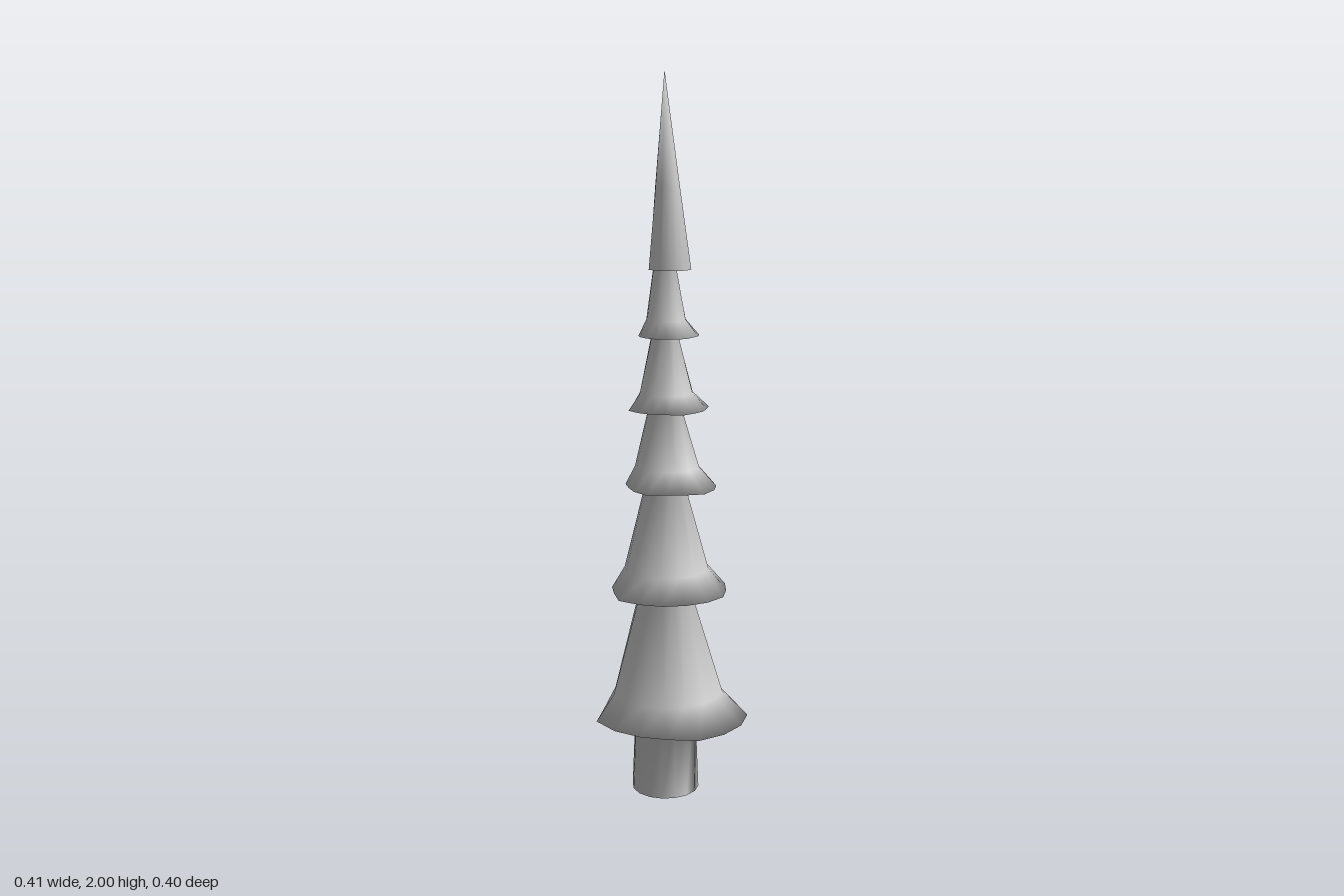
import * as THREE from 'three';

const N = 16; // sides of every ring
const AXIS = [-0.017, 0.025]; // trunk axis in x, z

// Ragged rim outlines as factors of the mean radius, one per side
const RAGGED = [
  [1.02, 1.03, 1.05, 0.97, 0.99, 1.05, 1.12, 1.0, 0.97, 1.07, 0.98, 0.91, 0.95, 1.0, 0.9, 1.01],
  [1.02, 1.0, 0.98, 0.99, 1.0, 1.05, 0.94, 0.95, 0.95, 1.05, 0.93, 0.99, 1.02, 1.1, 1.0, 0.97],
];

export function createModel() {
  const pos = [];
  const parts = {}; // part name -> triangle corners

  // Adds one ring of points and returns the index of its first point
  const ring = (y, r, c = AXIS, rag = 0, kind = 0, turn = 0) => {
    const start = pos.length / 3;
    for (let j = 0; j < N; j++) {
      const a = (j / N) * Math.PI * 2;
      const f = 1 + rag * (RAGGED[kind][(j + turn) % N] - 1);
      pos.push(c[0] + Math.cos(a) * r * f, y, c[1] + Math.sin(a) * r * f);
    }
    return start;
  };
  // Joins consecutive rings into a band of the named part
  const skin = (name, ...rings) => {
    const idx = (parts[name] ??= []);
    for (let i = 1; i < rings.length; i++) {
      const lo = rings[i - 1], hi = rings[i];
      for (let j = 0; j < N; j++) {
        const k = (j + 1) % N;
        idx.push(lo + j, hi + j, lo + k, lo + k, hi + j, hi + k);
      }
    }
  };

  // Trunk with a closed foot
  const foot = ring(0, 0.095);
  let neck = ring(0.22, 0.086);
  skin('trunk', foot, neck);
  for (let j = 1; j < N - 1; j++) parts.trunk.push(foot, foot + j, foot + j + 1);

  // Branch tiers: rim y, radius, centre; shoulder y, radius; top y, radius; outline, turn
  [
    [0.215, 0.206, [0, 0], 0.29, 0.152, 0.59, 0.071, 0, 0],
    [0.585, 0.168, [-0.015, 0.01], 0.65, 0.12, 0.89, 0.055, 1, 0],
    [0.885, 0.13, [-0.01, 0.01], 0.94, 0.09, 1.105, 0.045, 0, 5],
    [1.1, 0.107, [-0.01, 0.01], 1.145, 0.073, 1.305, 0.036, 1, 7],
    [1.3, 0.08, [-0.011, 0.011], 1.345, 0.053, 1.485, 0.031, 0, 11],
  ].forEach(([y, r, c, sy, sr, ty, tr, kind, turn], i) => {
    const mid = [(c[0] + 2 * AXIS[0]) / 3, (c[1] + 2 * AXIS[1]) / 3];
    const rim = ring(y, r, c, 1, kind, turn);
    const shoulder = ring(sy, sr, mid, 0.5, kind, turn);
    const top = ring(ty, tr);
    skin(`branchTier${i + 1}`, neck, rim, shoulder, top);
    neck = top;
  });

  // Slender pointed crown
  const rim = ring(1.48, 0.058, [-0.009, 0.01], 0.6, 1, 3);
  const waist = ring(1.7, 0.033, [-0.012, 0.018]);
  skin('crown', neck, rim, waist);
  const tip = pos.length / 3;
  pos.push(AXIS[0], 2, AXIS[1]);
  for (let j = 0; j < N; j++) parts.crown.push(waist + j, tip, waist + ((j + 1) % N));

  // Smooth normals run on across all parts, then each part becomes its own mesh
  const whole = new THREE.BufferGeometry();
  whole.setAttribute('position', new THREE.Float32BufferAttribute(pos, 3));
  whole.setIndex(Object.values(parts).flat());
  whole.computeVertexNormals();

  const tree = new THREE.Group();
  tree.name = 'coniferTree';
  const mat = new THREE.MeshStandardMaterial({ color: 0xcccccc });
  for (const [name, idx] of Object.entries(parts)) {
    const mesh = new THREE.Mesh(whole.clone().setIndex(idx).toNonIndexed(), mat);
    mesh.name = name;
    tree.add(mesh);
  }
  return tree;
}
